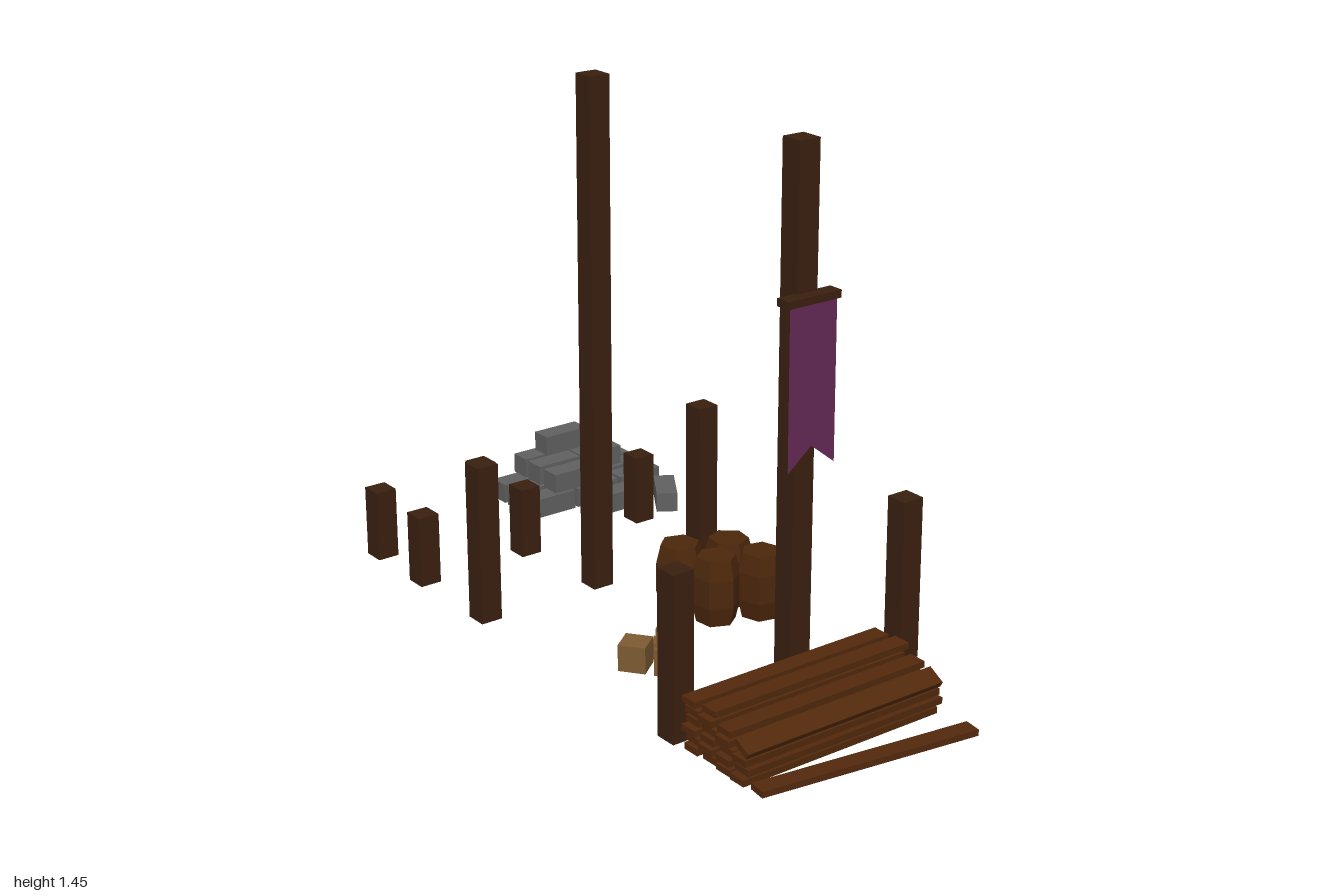
import * as THREE from 'three';

const mat = (color, extra = {}) =>
  new THREE.MeshStandardMaterial({ color, flatShading: true, ...extra });

export function createModel() {
  const model = new THREE.Group();
  const postWood = mat(0x3a2010), plankWood = mat(0x52290c), barrelWood = mat(0x4c270c);
  const crateWood = mat(0x7d5a32), stone = mat(0x606060);
  const cloth = mat(0x642a56, { side: THREE.DoubleSide });

  const group = (name) => {
    const g = new THREE.Group();
    g.name = name;
    model.add(g);
    return g;
  };
  // Box given by size and centre, with an optional turn about y
  const box = (parent, name, material, [w, h, d], [x, y, z], turn = 0) => {
    const m = new THREE.Mesh(new THREE.BoxGeometry(w, h, d), material);
    m.name = name;
    m.position.set(x, y, z);
    m.rotation.y = turn;
    parent.add(m);
    return m;
  };

  // Posts: x, z, height
  const posts = group('posts');
  [
    [-0.46, -0.835, 0.205], [-0.122, -0.835, 0.205],
    [-0.46, -0.605, 0.205], [-0.122, -0.605, 0.205], [0.282, -0.605, 0.205],
    [-0.456, -0.3, 0.45], [0.282, -0.3, 0.45],
    [-0.456, 0.553, 0.45], [0.282, 0.553, 0.45],
  ].forEach(([x, z, h]) => box(posts, 'post', postWood, [0.063, h, 0.063], [x, h / 2, z]));

  // Two tall poles with a barely visible lean
  for (const z of [-0.299, 0.549]) {
    const pole = box(posts, 'tallPole', postWood, [0.063, 1.45, 0.063], [-0.084, 0.725, z]);
    pole.rotation.z = -0.004;
  }

  // Swallow-tailed banner on a crossbar
  const banner = group('banner');
  box(banner, 'crossbar', postWood, [0.165, 0.02, 0.042], [-0.085, 1.065, 0.592]);
  const flag = new THREE.Shape([
    [-0.073, 1.06], [-0.073, 0.635], [0, 0.693], [0.073, 0.635], [0.073, 1.06],
  ].map(([x, y]) => new THREE.Vector2(x, y)));
  const flagMesh = new THREE.Mesh(new THREE.ShapeGeometry(flag), cloth);
  flagMesh.name = 'bannerCloth';
  flagMesh.position.set(-0.085, 0, 0.608);
  banner.add(flagMesh);

  // Stacked planks: each column has its own z and number of layers
  const planks = group('plankStack');
  [[0.638, 6], [0.701, 6], [0.766, 5], [0.826, 3]].forEach(([z, layers], c) => {
    for (let i = 0; i < layers; i++) {
      const shift = 0.006 * Math.sin(i * 2.3 + c * 1.7);
      box(planks, 'plank', plankWood, [0.618, 0.017, 0.051],
        [-0.166 + shift, 0.0085 + i * 0.0255, z + shift * 0.5]);
    }
  });
  const leaning = box(planks, 'leaningPlank', plankWood, [0.618, 0.017, 0.053], [-0.167, 0.094, 0.833]);
  leaning.rotation.x = 0.5;
  box(planks, 'fallenPlank', plankWood, [0.62, 0.017, 0.05], [-0.167, 0.0085, 0.932], -0.133);

  // Six-sided barrels: x, z, turn
  const barrels = group('barrels');
  const profile = [[0, 0], [0.055, 0], [0.068, 0.055], [0.068, 0.135], [0.055, 0.188], [0, 0.188]]
    .map(([r, y]) => new THREE.Vector2(r, y));
  const barrelGeo = new THREE.LatheGeometry(profile, 6);
  [[0.008, -0.042, 0.2], [0.135, 0.011, -0.15], [0.034, 0.085, 0.1], [0.152, 0.13, 0.3]]
    .forEach(([x, z, turn]) => {
      const b = new THREE.Mesh(barrelGeo, barrelWood);
      b.name = 'barrel';
      b.position.set(x, 0, z);
      b.rotation.y = turn;
      barrels.add(b);
    });

  // Crates: size, x, base y, z, turn
  const crates = group('crates');
  [
    [0.074, -0.308, 0, 0.185, 0.65],
    [0.046, -0.219, 0, 0.176, 0.75],
    [0.074, -0.25, 0, 0.262, 0.7],
    [0.054, -0.252, 0.074, 0.252, 0.7],
  ].forEach(([s, x, y, z, turn]) => box(crates, 'crate', crateWood, [s, s, s], [x, y + s / 2, z], turn));

  // Stone blocks: x, layer, z, turn
  const stones = group('stonePile');
  const blocks = [[0.238, 2, -0.946, 0], [0.29, 0, -0.712, 0], [0.414, 0, -0.65, 1.0]];
  for (const z of [-0.969, -0.893, -0.809]) {
    for (const x of [0.099, 0.256, 0.413]) blocks.push([x, 0, z, 0]);
    for (const x of [0.176, 0.328]) {
      if (z < -0.85 || x < 0.2) blocks.push([x, 1, z, 0]);
    }
  }
  blocks.forEach(([x, layer, z, turn]) =>
    box(stones, 'stoneBlock', stone, [0.146, 0.058, 0.062], [x, 0.031 + layer * 0.064, z], turn));

  return model;
}
